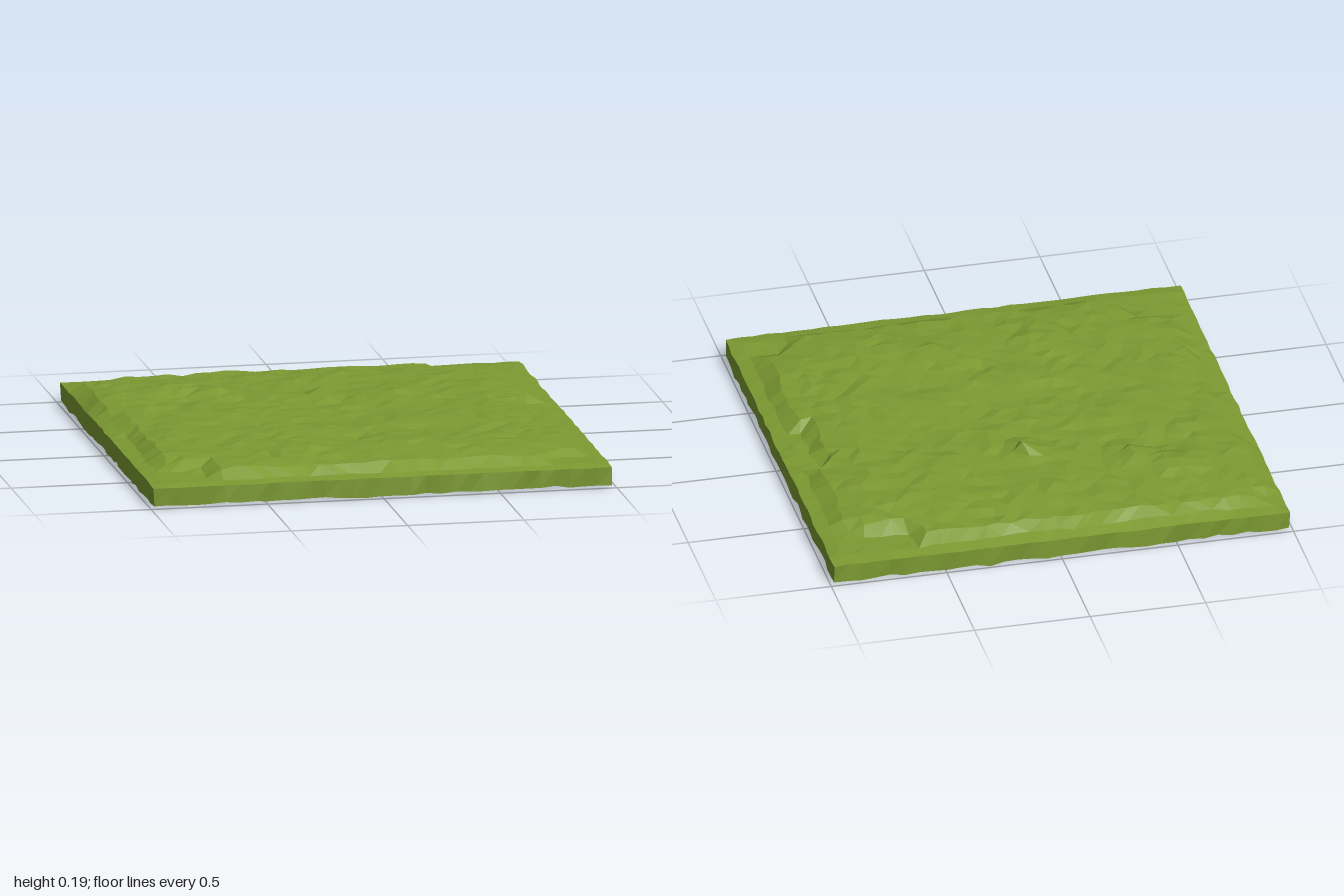
import * as THREE from 'three';

const N = 32, HALF = 0.985, THICKNESS = 0.077;

// Foot of the raised plateau, as x, z pairs
const outline = [
  [-0.74, 0.925], [0.73, 0.925], [0.79, 0.8], [0.925, 0.76], [0.925, 0.15], [0.865, 0.12],
  [0.865, -0.18], [0.925, -0.23], [0.91, -0.7], [0.8, -0.8], [0.61, -0.8], [0.59, -0.93],
  [-0.7, -0.945], [-0.97, -0.86], [-0.975, -0.3], [-0.94, -0.24], [-0.94, 0], [-0.92, 0.05],
  [-0.92, 0.68], [-0.74, 0.76],
];

// Local hills and hollows: x, z, height, radius
const bumps = [
  [-0.01, -0.3, 0.05, 0.055], [-0.44, -0.45, 0.034, 0.08], [-0.58, -0.56, 0.026, 0.1],
  [0.2, 0.57, 0.024, 0.14], [0.32, -0.3, 0.012, 0.14], [-0.2, 0.3, 0.014, 0.1],
  [0.36, 0.2, 0.012, 0.08], [-0.9, -0.5, 0.012, 0.06], [-0.3, 0.6, 0.016, 0.1],
  [0.02, 0.42, -0.014, 0.08], [-0.52, -0.36, -0.018, 0.07],
];

// Seeded value in -1..1 for a grid point
function rand(i, j, k) {
  const s = Math.sin(i * 127.1 + j * 311.7 + k * 74.7) * 43758.5453;
  return (s - Math.floor(s)) * 2 - 1;
}

// Broad noise, blended between every third grid point
function softNoise(i, j) {
  const a = Math.floor(i / 3), b = Math.floor(j / 3), u = i / 3 - a, v = j / 3 - b;
  const { lerp } = THREE.MathUtils;
  return lerp(lerp(rand(a, b, 1), rand(a + 1, b, 1), u), lerp(rand(a, b + 1, 1), rand(a + 1, b + 1, 1), u), v);
}

// Signed distance to the plateau outline, positive inside
function insideDistance(x, z) {
  let inside = false, d = Infinity;
  outline.forEach(([ax, az], n) => {
    const [bx, bz] = outline[(n + 1) % outline.length];
    const ex = bx - ax, ez = bz - az;
    const t = THREE.MathUtils.clamp(((x - ax) * ex + (z - az) * ez) / (ex * ex + ez * ez), 0, 1);
    d = Math.min(d, Math.hypot(x - ax - ex * t, z - az - ez * t));
    if ((az > z) !== (bz > z) && x < ax + (ex * (z - az)) / ez) inside = !inside;
  });
  return inside ? d : -d;
}

// A steep bank, then a gentle rise to the uneven plateau
function terrainHeight(x, z, i, j) {
  const { smoothstep } = THREE.MathUtils;
  const d = insideDistance(x, z);
  const rise = 0.78 * smoothstep(d, -0.005, 0.062) + 0.22 * smoothstep(d, 0.05, 0.2);
  let h = 0.045 + 0.009 * softNoise(i, j) + 0.004 * rand(i, j, 2);
  for (const [bx, bz, height, r] of bumps) {
    h += height * Math.exp(-((x - bx) ** 2 + (z - bz) ** 2) / (r * r));
  }
  return 0.095 + 0.002 * rand(i, j, 2) + rise * h;
}

// Surface point; the outer ring forms the low rim
function surfacePoint(i, j) {
  const x = (i / N * 2 - 1) * HALF, z = (j / N * 2 - 1) * HALF;
  const edgeX = i === 0 || i === N, edgeZ = j === 0 || j === N;
  if (edgeX || edgeZ) {
    return [x + (edgeX ? 0.004 * rand(i, j, 3) : 0), 0.088 + 0.002 * rand(i, j, 4),
      z + (edgeZ ? 0.004 * rand(i, j, 5) : 0)];
  }
  return [x + 0.011 * rand(i, j, 3), terrainHeight(x, z, i, j), z + 0.011 * rand(i, j, 5)];
}

// The underside follows the surface at a constant depth, with a ragged rim
function undersidePoint(i, j) {
  const [x, y, z] = surfacePoint(i, j);
  const edgeX = i === 0 || i === N, edgeZ = j === 0 || j === N;
  const ragged = edgeX || edgeZ ? 0.009 * rand(i, j, 9) ** 3 : 0;
  return [x + (edgeX ? 0.006 * rand(i, j, 7) : 0), y - THICKNESS + ragged,
    z + (edgeZ ? 0.006 * rand(i, j, 8) : 0)];
}

function makeMesh(name, points, index, material) {
  const geometry = new THREE.BufferGeometry();
  geometry.setAttribute('position', new THREE.Float32BufferAttribute(points.flat(), 3));
  geometry.setIndex(index);
  geometry.computeVertexNormals();
  const mesh = new THREE.Mesh(geometry, material);
  mesh.name = name;
  return mesh;
}

export function createModel() {
  const group = new THREE.Group();
  group.name = 'grassTile';
  const grass = new THREE.MeshStandardMaterial({ color: 0x7c9a32, flatShading: true });

  // Faceted grass surface with irregular diagonals, and its underside
  const top = [], under = [], topIndex = [];
  for (let j = 0; j <= N; j++) {
    for (let i = 0; i <= N; i++) {
      top.push(surfacePoint(i, j));
      under.push(undersidePoint(i, j));
    }
  }
  for (let j = 0; j < N; j++) {
    for (let i = 0; i < N; i++) {
      const a = j * (N + 1) + i, b = a + 1, c = a + N + 1, d = c + 1;
      if (rand(i, j, 6) > 0) topIndex.push(a, c, b, b, c, d);
      else topIndex.push(a, c, d, a, d, b);
    }
  }
  group.add(makeMesh('grassSurface', top, topIndex, grass));
  group.add(makeMesh('underside', under, [...topIndex].reverse(), grass));

  // Side walls joining the two rims
  const ring = [];
  for (let n = 0; n < N; n++) ring.push([n, N]);
  for (let n = 0; n < N; n++) ring.push([N, N - n]);
  for (let n = 0; n < N; n++) ring.push([N - n, 0]);
  for (let n = 0; n < N; n++) ring.push([0, n]);
  const walls = [], wallIndex = [];
  ring.forEach(([i, j], n) => {
    walls.push(surfacePoint(i, j), undersidePoint(i, j));
    const a = n * 2, b = ((n + 1) % ring.length) * 2;
    wallIndex.push(a, a + 1, b, b, a + 1, b + 1);
  });
  group.add(makeMesh('sideWalls', walls, wallIndex, grass));
  return group;
}
